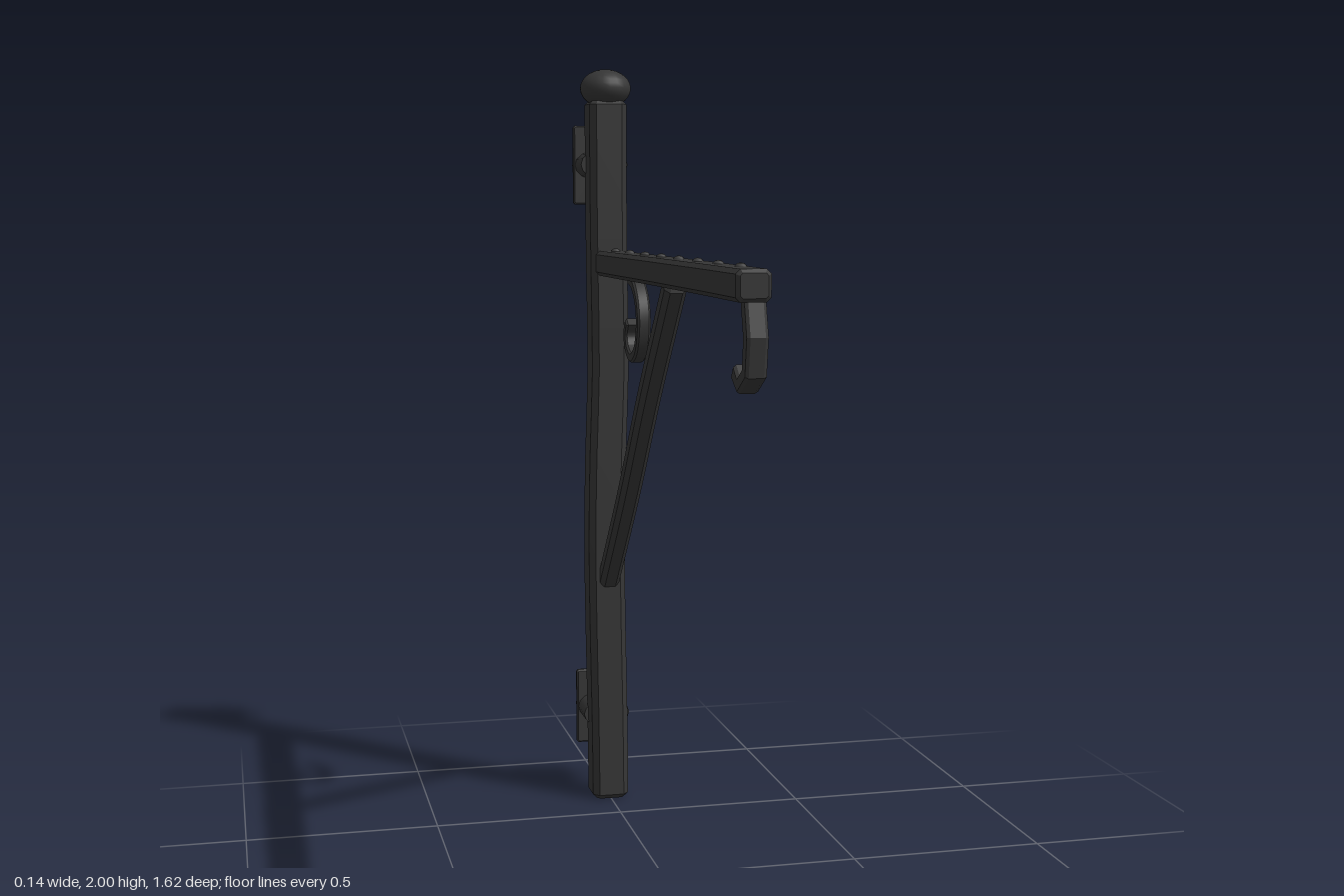
import * as THREE from 'three';
import { toCreasedNormals } from 'three/addons/utils/BufferGeometryUtils.js';

const iron = new THREE.MeshStandardMaterial({ color: 0x363636 });
iron.name = 'dark iron';

function part(name, geometry, x = 0, y = 0, z = 0) {
  const mesh = new THREE.Mesh(geometry, iron);
  mesh.name = name;
  mesh.position.set(x, y, z);
  return mesh;
}

// Chamfered bar along +z; sway lists sideways offsets spaced evenly along it
function bar(w, h, length, chamfer, sway) {
  const a = w / 2, b = h / 2, c = chamfer;
  const outline = [[a, c - b], [a, b - c], [a - c, b], [c - a, b], [-a, b - c], [-a, c - b], [c - a, -b], [a - c, -b]];
  const shape = new THREE.Shape(outline.map(([x, y]) => new THREE.Vector2(x, y)));
  const bevel = c * 0.8;
  const g = new THREE.ExtrudeGeometry(shape, {
    depth: length - 2 * bevel, steps: 16, bevelEnabled: true, bevelSegments: 1,
    bevelThickness: bevel, bevelSize: bevel, bevelOffset: -bevel,
  });
  g.translate(0, 0, bevel);
  const curve = new THREE.SplineCurve(sway.map((s, i) => new THREE.Vector2(i, s)));
  const p = g.attributes.position;
  for (let i = 0; i < p.count; i++) {
    const t = THREE.MathUtils.clamp(p.getZ(i) / length, 0, 1);
    p.setX(i, p.getX(i) + curve.getPoint(t).y);
  }
  return toCreasedNormals(g, 0.4);
}

// Flat strip following [z, y] points, given its thickness and its width in x
function strip(points, thickness, width, crease) {
  const pts = points.map(([z, y]) => new THREE.Vector2(z, y));
  const left = [], right = [];
  pts.forEach((p, i) => {
    const before = pts[Math.max(i - 1, 0)], after = pts[Math.min(i + 1, pts.length - 1)];
    const d = after.clone().sub(before).normalize().multiplyScalar(thickness / 2);
    left.push(new THREE.Vector2(p.x - d.y, p.y + d.x));
    right.unshift(new THREE.Vector2(p.x + d.y, p.y - d.x));
  });
  const g = new THREE.ExtrudeGeometry(new THREE.Shape([...left, ...right]), {
    depth: width * 0.7, bevelEnabled: true, bevelSegments: 1,
    bevelThickness: width * 0.15, bevelSize: 0.004, bevelOffset: -0.004,
  });
  g.translate(0, 0, -width * 0.35);
  g.rotateY(-Math.PI / 2);
  return toCreasedNormals(g, crease);
}

export function createModel() {
  const model = new THREE.Group();
  model.name = 'wallBracket';

  // Upright post with its ball finial
  const post = bar(0.1, 0.1, 1.92, 0.016, [0, -0.002, -0.006, -0.008, -0.004, 0.004, 0.002, 0, 0]);
  post.rotateX(-Math.PI / 2);
  model.add(part('post', post, 0, 0, -0.665));
  const finial = part('finial', new THREE.SphereGeometry(0.068, 20, 14), 0, 1.95, -0.665);
  finial.scale.y = 0.05 / 0.068;
  model.add(finial);

  // Horizontal arm and its row of rivets
  model.add(part('arm', bar(0.074, 0.066, 1.45, 0.01, [0, 0, 0.002, 0, -0.002, -0.008]), 0, 1.488, -0.64));
  for (let i = 0; i < 8; i++) {
    const rivet = part('rivet', new THREE.SphereGeometry(0.014, 10, 6), 0, 1.519, 0.68 - i * 0.1743);
    rivet.scale.y = 0.75;
    model.add(rivet);
  }

  // Diagonal brace
  const foot = new THREE.Vector3(-0.004, 0.615, -0.636);
  const head = new THREE.Vector3(0.004, 1.465, 0.108);
  const brace = part('brace', bar(0.054, 0.05, foot.distanceTo(head), 0.012, [0, 0.002, -0.002, 0]));
  brace.position.copy(foot);
  brace.lookAt(head);
  model.add(brace);

  // Decorative scroll under the arm
  const spiral = new THREE.SplineCurve([
    [-0.32, 1.458], [-0.265, 1.442], [-0.222, 1.4], [-0.21, 1.345], [-0.235, 1.287],
    [-0.29, 1.261], [-0.338, 1.278], [-0.357, 1.315], [-0.338, 1.348],
  ].map(([z, y]) => new THREE.Vector2(z, y)));
  const scroll = strip(spiral.getPoints(40).map((p) => [p.x, p.y]), 0.026, 0.034, 0.5);
  model.add(part('scroll', scroll));

  // Hanging hook at the tip of the arm
  const hook = strip([[0.772, 1.465], [0.794, 1.385], [0.784, 1.314], [0.735, 1.286], [0.697, 1.312]], 0.034, 0.045, 0.3);
  model.add(part('hook', hook));

  // Wall mounts: a flat plate on a stub
  for (const y of [1.75, 0.23]) {
    const mount = new THREE.Group();
    mount.name = 'wallMount';
    const stub = new THREE.CylinderGeometry(0.064, 0.064, 0.13, 16);
    stub.rotateX(Math.PI / 2);
    stub.scale(1, 0.64, 1);
    mount.add(part('stub', stub, 0, 0, -0.747));
    mount.add(part('plate', bar(0.136, 0.212, 0.016, 0.005, [0, 0]), 0, 0, -0.786));
    mount.position.y = y;
    model.add(mount);
  }
  return model;
}
